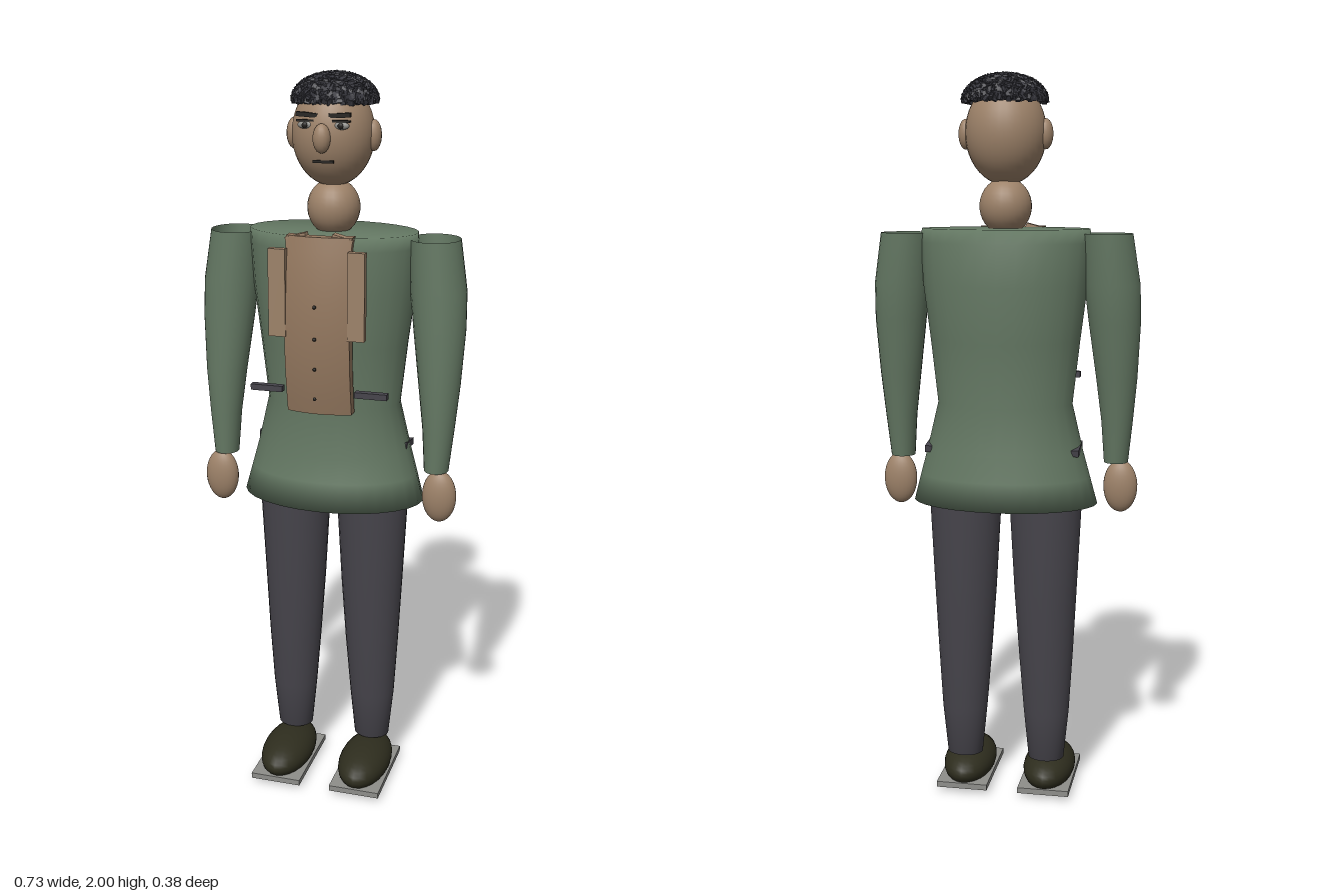
import * as THREE from 'three';
import { mergeGeometries } from 'three/addons/utils/BufferGeometryUtils.js';

const mat = (name, color, side = THREE.FrontSide) => {
  const m = new THREE.MeshStandardMaterial({ color, side });
  m.name = name;
  return m;
};

// Smooth body through elliptical rings [y, cx, cz, rx, rz], listed upwards
function loft(rings, seg, capped) {
  const pos = [], idx = [], last = rings.length - 1;
  for (const [y, cx, cz, rx, rz] of rings) {
    for (let i = 0; i < seg; i++) {
      const a = (i / seg) * Math.PI * 2;
      pos.push(cx + rx * Math.cos(a), y, cz + rz * Math.sin(a));
    }
  }
  for (let j = 0; j < last; j++) {
    for (let i = 0; i < seg; i++) {
      const n = (i + 1) % seg;
      const a = j * seg + i, b = j * seg + n, c = a + seg, d = b + seg;
      idx.push(a, c, b, b, c, d);
    }
  }
  if (capped) {
    const bottom = pos.length / 3, top = bottom + 1;
    for (const r of [rings[0], rings[last]]) pos.push(r[1], r[0], r[2]);
    for (let i = 0; i < seg; i++) {
      const n = (i + 1) % seg;
      idx.push(bottom, i, n, top, last * seg + n, last * seg + i);
    }
  }
  const g = new THREE.BufferGeometry();
  g.setAttribute('position', new THREE.Float32BufferAttribute(pos, 3));
  g.setIndex(idx);
  g.computeVertexNormals();
  return g;
}

const ball = (rx, ry, rz, seg = 24) =>
  new THREE.SphereGeometry(1, seg, Math.round(seg * 0.7)).scale(rx, ry, rz);

export function createModel() {
  const model = new THREE.Group();
  model.name = 'standingMan';
  const skin = mat('skin', 0x9d8269);
  const shirt = mat('shirt', 0x94785f);
  const green = mat('jacketGreen', 0x647863, THREE.DoubleSide);
  const trousers = mat('trouserGrey', 0x46444b);
  const hairMat = mat('hairBlack', 0x36363d);
  const shoeMat = mat('shoeBrown', 0x2e2d1e);
  const pale = mat('paleGrey', 0x8e8e8a);
  const dark = mat('darkTrim', 0x24221f);

  const add = (name, geo, material, x = 0, y = 0, z = 0) => {
    const m = new THREE.Mesh(geo, material);
    m.name = name;
    m.position.set(x, y, z);
    model.add(m);
    return m;
  };

  // Jacket: rows of [y, half width, front z, back z]
  const jacket = [
    [0.855, 0.255, 0.138, -0.19], [0.93, 0.235, 0.118, -0.178],
    [1.0, 0.216, 0.104, -0.168], [1.13, 0.185, 0.094, -0.154],
    [1.3, 0.204, 0.108, -0.166], [1.45, 0.223, 0.118, -0.178],
    [1.56, 0.23, 0.116, -0.167], [1.597, 0.228, 0.112, -0.158],
  ].map(([y, rx, f, b]) => [y, 0, (f + b) / 2, rx, (f - b) / 2]);
  add('jacket', loft(jacket, 28, true), green);

  // Shirt front: a slab bowed across and down
  const panel = new THREE.BoxGeometry(0.176, 0.47, 0.03, 10, 12, 1);
  const p = panel.attributes.position;
  for (let i = 0; i < p.count; i++) {
    const x = p.getX(i), y = p.getY(i);
    p.setZ(i, p.getZ(i) - 0.016 * (x / 0.088) ** 2 - 0.025 * (y / 0.235) ** 2);
  }
  panel.computeVertexNormals();
  add('shirtFront', panel, shirt, 0, 1.365, 0.139);
  for (const y of [1.18, 1.26, 1.34, 1.425]) add('button', ball(0.005, 0.005, 0.005, 8), dark, 0, y, 0.157);

  // Neck and head
  add('neck', ball(0.07, 0.075, 0.07), skin, 0, 1.655, -0.022);
  add('head', ball(0.108, 0.135, 0.104, 32), skin, 0, 1.845, -0.018);
  add('nose', ball(0.023, 0.037, 0.022, 16), skin, 0, 1.842, 0.088);
  add('mouth', new THREE.BoxGeometry(0.054, 0.007, 0.01), dark, 0, 1.783, 0.073);

  // Hair: a dome covered with small tilted tufts on a spiral
  const cap = new THREE.SphereGeometry(1, 28, 10, 0, Math.PI * 2, 0, Math.PI / 2);
  add('hairCap', cap.scale(0.104, 0.063, 0.093), hairMat, 0, 1.925, -0.034);
  let seed = 7;
  const rand = () => (seed = (seed * 16807) % 2147483647) / 2147483647;
  const tufts = [], count = 620, dummy = new THREE.Object3D();
  for (let i = 0; i < count; i++) {
    const h = 1 - ((i + 0.5) / count) * 0.98;
    const r = Math.sqrt(1 - h * h), a = i * 2.39996;
    dummy.position.set(0.107 * r * Math.cos(a), 0.066 * h, 0.096 * r * Math.sin(a));
    dummy.rotation.set((rand() - 0.5) * 1.2, rand() * 3, (rand() - 0.5) * 1.2);
    dummy.updateMatrix();
    tufts.push(new THREE.BoxGeometry(0.013, 0.013, 0.013).applyMatrix4(dummy.matrix));
  }
  add('hairTufts', mergeGeometries(tufts), hairMat, 0, 1.925, -0.034);

  // Mirrored parts
  for (const s of [1, -1]) {
    add('ear', ball(0.02, 0.04, 0.024, 16), skin, s * 0.107, 1.842, -0.022);
    add('eye', ball(0.021, 0.01, 0.008, 16), pale, s * 0.047, 1.873, 0.073);
    add('pupil', ball(0.008, 0.008, 0.005, 12), dark, s * 0.047, 1.873, 0.079);
    add('eyelid', new THREE.BoxGeometry(0.046, 0.005, 0.012), dark, s * 0.047, 1.884, 0.073);
    add('eyebrow', new THREE.BoxGeometry(0.056, 0.011, 0.014), dark, s * 0.043, 1.898, 0.07)
      .rotation.z = s * 0.06;

    // Sleeve, open at both ends, and hand
    const sleeve = [
      [0.965, 0.3, 0.018, 0.033, 0.038], [1.08, 0.302, 0.012, 0.043, 0.046],
      [1.2, 0.3, 0.004, 0.056, 0.056], [1.35, 0.294, -0.01, 0.07, 0.066],
      [1.45, 0.287, -0.018, 0.075, 0.071], [1.585, 0.273, -0.024, 0.068, 0.072],
    ].map(([y, x, z, rx, rz]) => [y, s * x, z, rx, rz]);
    add('sleeve', loft(sleeve, 24, false), green);
    add('hand', ball(0.047, 0.073, 0.03), skin, s * 0.312, 0.895, 0.029);

    // Lapel strip, collar tab and pockets
    add('lapel', new THREE.BoxGeometry(0.046, 0.23, 0.02), skin, s * 0.106, 1.453, 0.133);
    const tab = add('collarTab', new THREE.BoxGeometry(0.056, 0.05, 0.026), skin, s * 0.058, 1.577, 0.104);
    tab.rotation.z = s * -0.25;
    add('frontPocket', new THREE.BoxGeometry(0.088, 0.016, 0.02), trousers, s * 0.143, 1.19, 0.118);
    add('sidePocket', new THREE.BoxGeometry(0.02, 0.018, 0.085), trousers, s * 0.201, 1.01, -0.05)
      .rotation.x = -0.15;

    // Trouser leg
    const leg = [
      [0.11, 0.117, -0.024, 0.05, 0.043], [0.25, 0.117, -0.024, 0.064, 0.056],
      [0.42, 0.115, -0.023, 0.076, 0.068], [0.6, 0.113, -0.024, 0.087, 0.076],
      [0.85, 0.112, -0.024, 0.1, 0.086], [0.93, 0.108, -0.024, 0.1, 0.086],
    ].map(([y, x, z, rx, rz]) => [y, s * x, z, rx, rz]);
    add('trouserLeg', loft(leg, 24, true), trousers);

    // Shoe and flat sole
    add('shoe', ball(0.073, 0.054, 0.14), shoeMat, s * 0.117, 0.056, 0.046);
    add('sole', new THREE.BoxGeometry(0.145, 0.016, 0.264), pale, s * 0.117, 0.024, 0.047);
  }
  return model;
}
